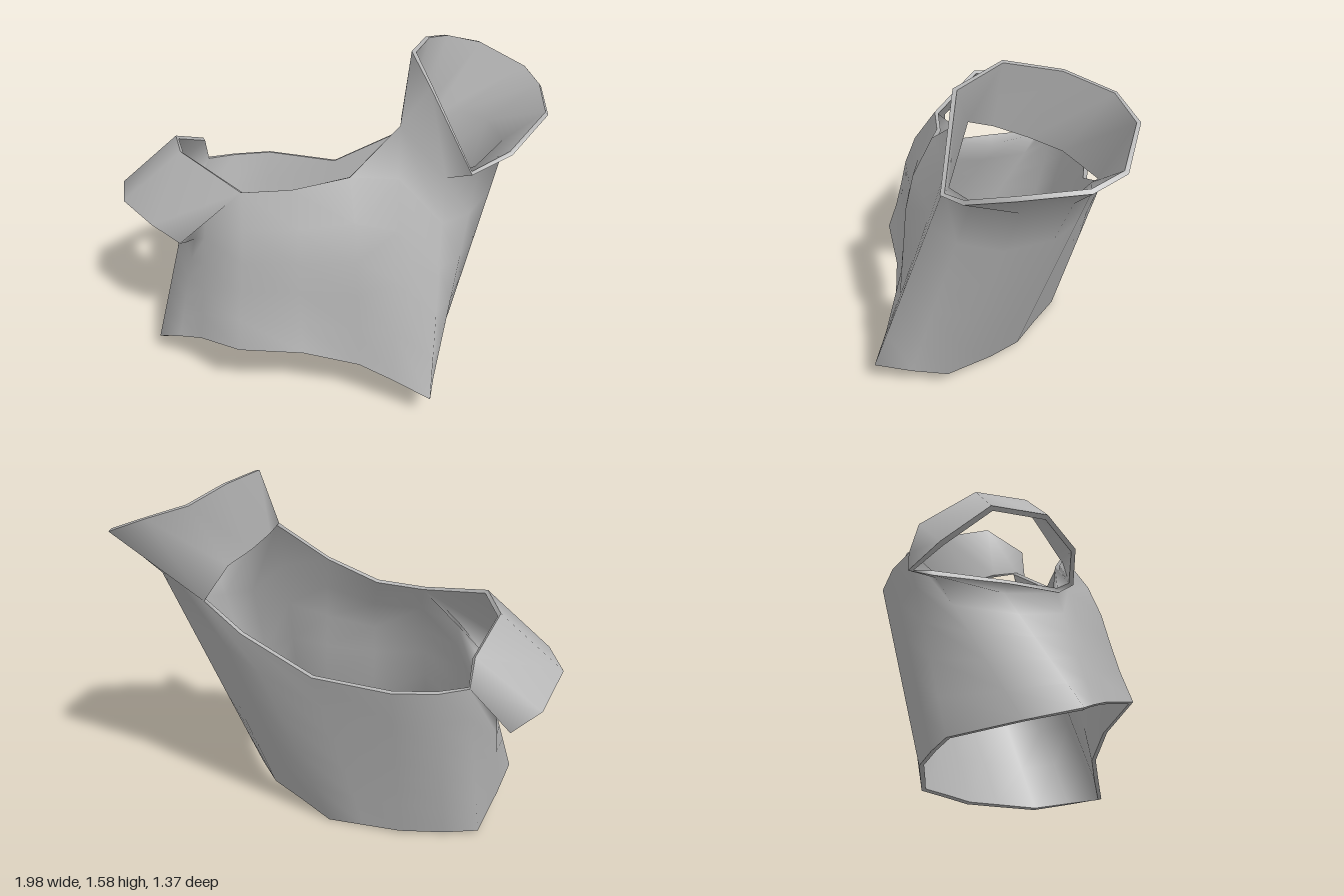
import * as THREE from 'three';

// Body columns, running around the garment: [hem point, top edge point]
const columns = [
  [[-.54, .32, .37], [-.46, 1.0, .11]],
  [[-.25, .28, .41], [-.24, 1.02, .17]],
  [[0, .23, .49], [0, 1.11, .27]],
  [[.14, .185, .58], [.24, 1.3, .2]],
  [[.29, .13, .68], [.41, 1.1, .35]],
  [[.36, .1, .52], [.58, 1.1, .3]],
  [[.41, .07, .36], [.76, 1.14, .16]],
  [[.35, .05, .12], [.77, 1.14, -.06]],
  [[.28, .03, -.05], [.68, 1.14, -.2]],
  [[.15, .015, -.2], [.56, 1.08, -.3]],
  [[.02, 0, -.36], [.4, .96, -.39]],
  [[-.14, .005, -.42], [.1, .79, -.48]],
  [[-.3, .01, -.48], [-.22, .79, -.65]],
  [[-.5, .01, -.5], [-.41, .79, -.665]],
  [[-.66, .015, -.5], [-.55, .8, -.64]],
  [[-.8, .07, -.26], [-.69, .63, -.57]],
  [[-.9, .11, -.07], [-.73, .6, -.3]],
  [[-.8, .17, .03], [-.68, .68, -.05]],
  [[-.7, .23, .14], [-.62, .85, 0]]
];
// Shoulder strap points that close each armhole over the top
const leftStrap = [[.46, 1.2, -.17], [.36, 1.24, -.05], [.28, 1.28, .08]];
const rightStrap = [[-.57, .93, -.61], [-.71, 1.05, -.42], [-.7, 1.08, -.19]];
// Sleeve openings, matched point by point with the armholes
const leftCuff = [
  [.34, 1.5, .28], [.51, 1.13, .4], [.7, 1.19, .37], [.91, 1.3, .24], [.99, 1.32, -.02],
  [.97, 1.36, -.17], [.78, 1.45, -.32], [.6, 1.5, -.31], [.45, 1.56, -.15], [.32, 1.58, .06]
];
const rightCuff = [
  [-.72, .62, -.69], [-.74, .61, -.6], [-.76, .63, -.3], [-.72, .66, -.06], [-.75, .69, -.01],
  [-.87, .78, -.06], [-.87, .68, -.62], [-.99, .8, -.47], [-.99, .82, -.24]
];

export function createModel() {
  const group = new THREE.Group();
  group.name = 'garment';
  const cloth = new THREE.MeshStandardMaterial({ color: 0xb4b4b4, side: THREE.DoubleSide });
  cloth.name = 'grey cloth';

  const points = [];
  const add = p => points.push(...p) / 3 - 1;

  // Strip of quads between two loops of vertex indices
  const strip = (low, high) => low.flatMap((a, i) => {
    const j = (i + 1) % low.length;
    return [a, low[j], high[i], low[j], high[j], high[i]];
  });

  // Body rings from the hem to the top edge, with a fuller chest at the front
  const steps = 5, rings = [];
  for (let s = 0; s <= steps; s++) {
    const t = s / steps;
    rings.push(columns.map(([low, high], i) => {
      const p = low.map((v, k) => v + (high[k] - v) * t);
      if (i < 3) p[2] += .06 * Math.sin(Math.PI * t * t);
      return add(p);
    }));
  }
  const top = rings[steps];
  const body = rings.slice(1).flatMap((ring, i) => strip(rings[i], ring));

  // Armholes and sleeves
  const strapL = leftStrap.map(add), strapR = rightStrap.map(add);
  const armL = [...top.slice(3, 10), ...strapL];
  // The back strap point follows the front neck point around the armhole
  const armR = [...top.slice(14), top[0], ...[...strapR].reverse()];
  const cuffL = leftCuff.map(add);
  const cr = rightCuff.map(add);
  const cuffR = [...cr.slice(0, 6), cr[8], cr[7], cr[6]];
  const sleeveL = strip(armL, cuffL), sleeveR = strip(armR, cuffR);

  // Neckline loop over both straps
  const neck = [...top.slice(0, 4), ...[...strapL].reverse(), ...top.slice(9, 15), ...strapR];

  // Shared smooth normals for all the cloth
  const outer = new THREE.BufferGeometry();
  outer.setAttribute('position', new THREE.Float32BufferAttribute(points, 3));
  outer.setIndex([...body, ...sleeveL, ...sleeveR]);
  outer.computeVertexNormals();
  const normals = outer.attributes.normal.array;
  const count = points.length / 3;

  const piece = (name, source, index) => {
    const g = new THREE.BufferGeometry();
    g.setAttribute('position', source.attributes.position);
    g.setAttribute('normal', source.attributes.normal);
    g.setIndex(index);
    const mesh = new THREE.Mesh(g, cloth);
    mesh.name = name;
    group.add(mesh);
  };
  piece('body', outer, body);
  piece('leftSleeve', outer, sleeveL);
  piece('rightSleeve', outer, sleeveR);

  // Lining just inside the cloth
  const inner = points.map((v, i) => v - normals[i] * .02);
  const lining = new THREE.BufferGeometry();
  lining.setAttribute('position', new THREE.Float32BufferAttribute(inner, 3));
  lining.setAttribute('normal', new THREE.Float32BufferAttribute(Array.from(normals, n => -n), 3));
  const flipped = [...outer.index.array].reverse();
  piece('lining', lining, flipped);

  // Narrow edges joining cloth and lining at every opening
  const edge = (name, loop) => {
    const g = new THREE.BufferGeometry();
    g.setAttribute('position', new THREE.Float32BufferAttribute([...points, ...inner], 3));
    g.setIndex(strip(loop, loop.map(i => i + count)));
    g.computeVertexNormals();
    const mesh = new THREE.Mesh(g, cloth);
    mesh.name = name;
    group.add(mesh);
  };
  edge('hemEdge', [...rings[0]].reverse());
  edge('neckEdge', neck);
  edge('leftCuffEdge', cuffL);
  edge('rightCuffEdge', cuffR);
  return group;
}
